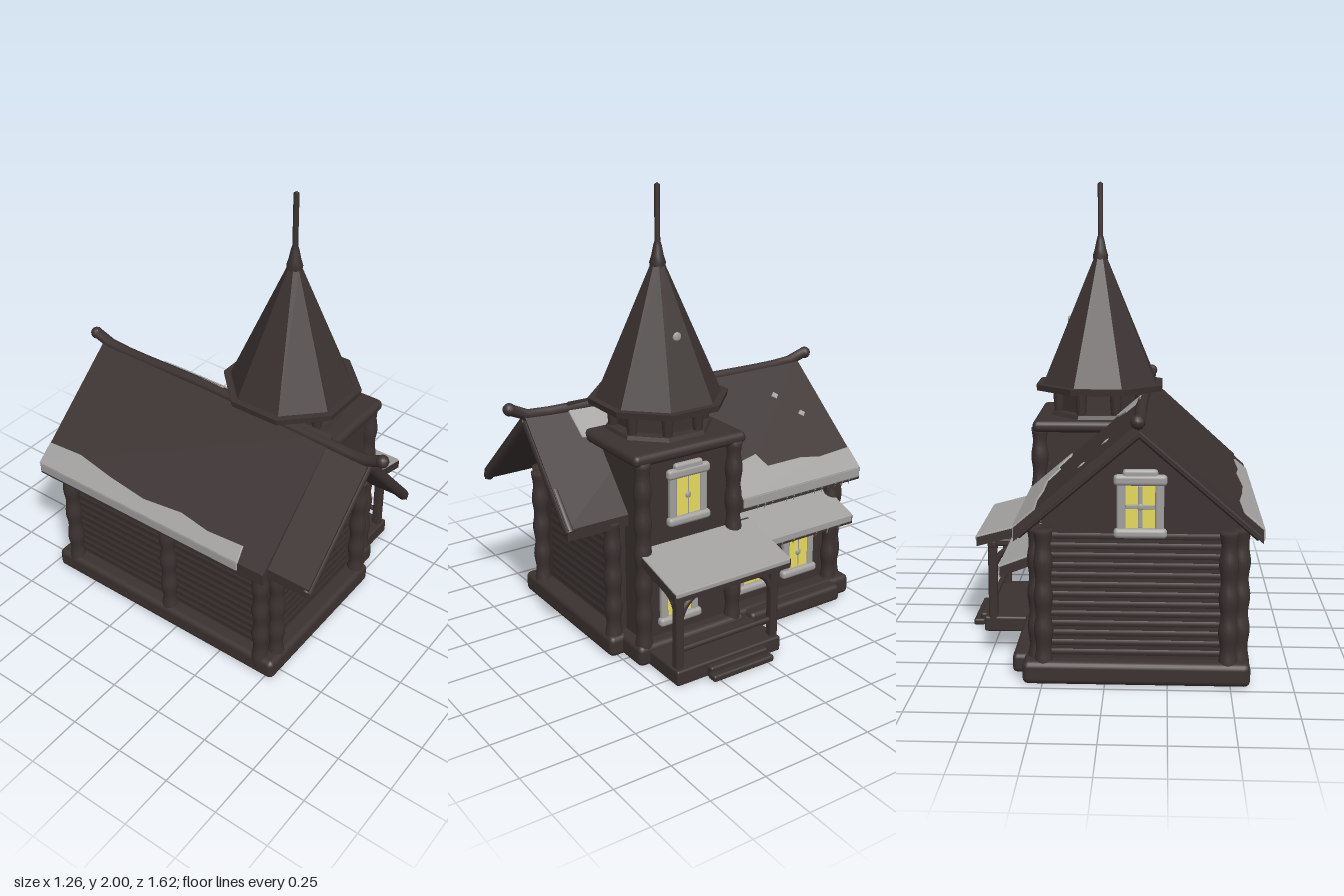
import * as THREE from 'three';
import { RoundedBoxGeometry } from 'three/addons/geometries/RoundedBoxGeometry.js';

const material = (name, color) => Object.assign(new THREE.MeshStandardMaterial({ color }), { name });

export function createModel() {
  const wood = material('dark wood', 0x3b3231);
  const snow = material('snow grey', 0xa1a09f);
  const glow = material('window yellow', 0xf8ec62);
  const model = new THREE.Group();
  model.name = 'house';

  const add = (name, geometry, mat = wood, parent = model) => {
    const mesh = new THREE.Mesh(geometry, mat);
    mesh.name = name;
    parent.add(mesh);
    return mesh;
  };
  // Softened box given by its limits
  const box = (name, x0, x1, y0, y1, z0, z1, mat = wood, parent = model, r = 0.01) => {
    const d = [x1 - x0, y1 - y0, z1 - z0];
    const mesh = add(name, new RoundedBoxGeometry(...d, 2, Math.min(r, ...d.map(v => v * 0.45))), mat, parent);
    mesh.position.set((x0 + x1) / 2, (y0 + y1) / 2, (z0 + z1) / 2);
    return mesh;
  };
  const shapeOf = pts => new THREE.Shape(pts.map(p => new THREE.Vector2(...p)));
  // Cross-section in x and y, stretched from z0 to z1
  const prism = (name, pts, z0, z1) => add(name,
    new THREE.ExtrudeGeometry(shapeOf(pts), { depth: z1 - z0, bevelEnabled: false }).translate(0, 0, z0));
  const tube = (name, pts, r) => add(name, new THREE.TubeGeometry(
    new THREE.CatmullRomCurve3(pts.map(p => new THREE.Vector3(...p))), 16, r, 8));
  const rod = (name, a, b, r) => {
    const from = new THREE.Vector3(...a), dir = new THREE.Vector3(...b).sub(from);
    const mesh = add(name, new THREE.CylinderGeometry(r, r, dir.length(), 10));
    mesh.position.copy(from).addScaledVector(dir, 0.5);
    mesh.quaternion.setFromUnitVectors(new THREE.Vector3(0, 1, 0), dir.normalize());
  };

  // Walls, set back between the corner posts
  prism('backWalls', [[-0.51, 0.03], [0.25, 0.03], [0.25, 0.68], [-0.13, 1.02], [-0.51, 0.67]], -0.66, 0);
  prism('frontWalls', [[-0.51, 0.03], [0.17, 0.03], [0.17, 0.62], [-0.15, 1.01], [-0.51, 0.67]], 0, 0.455);
  box('towerWalls', -0.22, 0.3, 0.03, 0.93, -0.03, 0.43);
  // Foundation sills
  [[-0.58, 0.22, 0.44, 0.54], [-0.58, 0.33, -0.72, -0.62], [-0.58, -0.48, -0.7, 0.52], [0.23, 0.33, -0.7, -0.05],
    [0.15, 0.36, 0.4, 0.48], [0.26, 0.36, -0.08, 0.48]].forEach(([x0, x1, z0, z1]) =>
    box('foundationSill', x0, x1, 0, 0.095, z0, z1, wood, model, 0.025));
  box('outerSill', 0.28, 0.38, 0.01, 0.09, -0.62, -0.1, wood, model, 0.02);

  // Wall logs, showing as shallow ridges
  for (let i = 0; i < 13; i++) {
    const y = 0.12 + i * 0.04, r = 0.03;
    rod('frontLog', [-0.45, y, 0.429], [0.15, y, 0.429], r);
    rod('backLog', [-0.48, y, -0.634], [0.23, y, -0.634], r);
    rod('sideLog', [-0.484, y, -0.63], [-0.484, y, 0.43], r);
  }

  // Gently bumpy log ends stacked at the corners
  const cornerPost = (x, z, top) => {
    const pts = [new THREE.Vector2(0, 0.04)];
    for (let i = 0; i <= 40; i++) {
      const t = i / 40;
      pts.push(new THREE.Vector2(0.035 + 0.004 * Math.sin(t * top * 42), 0.04 + t * (top - 0.04)));
    }
    pts.push(new THREE.Vector2(0, top));
    add('cornerPost', new THREE.LatheGeometry(pts, 12)).position.set(x, 0, z);
  };
  [[-0.545, 0.455, 0.63], [-0.48, 0.495, 0.63], [0.17, 0.495, 0.62], [-0.54, -0.63, 0.63], [-0.49, -0.675, 0.63],
    [0.245, -0.675, 0.63], [0.275, -0.63, 0.63], [-0.535, -0.06, 0.63], [0.32, 0.435, 0.92], [0.32, -0.03, 0.92]]
    .forEach(p => cornerPost(...p));

  // Main roof: one slab per slope, from ridge to eave
  const slab = (name, ridge, eave, t, z0, z1) => prism(name,
    [ridge, eave, [eave[0], eave[1] - t], [ridge[0], ridge[1] - t]], z0, z1);
  slab('roofLeft', [-0.135, 1.07], [-0.62, 0.65], 0.055, -0.73, 0.52);
  slab('roofRight', [-0.135, 1.07], [0.355, 0.65], 0.055, -0.73, -0.05);
  slab('frontRoofLeft', [-0.155, 1.05], [-0.585, 0.66], 0.05, 0.5, 0.72);
  slab('frontRoofRight', [-0.155, 1.05], [0.2, 0.645], 0.05, -0.05, 0.72);
  rod('bargeBoard', [-0.155, 1.01, 0.705], [-0.575, 0.63, 0.705], 0.024);
  rod('bargeBoard', [-0.155, 1.01, 0.705], [0.19, 0.625, 0.705], 0.024);
  rod('bargeBoard', [-0.135, 1.03, -0.71], [-0.61, 0.62, -0.71], 0.022);
  rod('bargeBoard', [-0.135, 1.03, -0.71], [0.345, 0.62, -0.71], 0.022);
  tube('ridgePole', [[-0.168, 1.08, 0.79], [-0.163, 1.045, 0.73], [-0.153, 1.035, 0.5], [-0.137, 1.05, -0.1],
    [-0.133, 1.055, -0.7], [-0.13, 1.085, -0.79]], 0.025);
  [[-0.168, 1.075, 0.78], [-0.13, 1.08, -0.785]].forEach(p =>
    add('ridgeFinial', new THREE.SphereGeometry(0.028, 12, 8)).position.set(...p));

  // Snow lying thinly on a slope: outline given as [z, distance up from the eave]
  const snowPatch = (eave, ridge, pts, depth = 0.004) => {
    const b = new THREE.Vector3(ridge[0] - eave[0], ridge[1] - eave[1], 0).normalize();
    const side = b.x < 0 ? -1 : 1;
    const n = new THREE.Vector3(-side * b.y, side * b.x, 0);
    const a = new THREE.Vector3(0, 0, side);
    const g = new THREE.ExtrudeGeometry(shapeOf(pts.map(([z, t]) => [z * side, t])),
      { depth, bevelThickness: 0.003, bevelSize: 0.003, bevelSegments: 1 });
    g.applyMatrix4(new THREE.Matrix4().makeBasis(a, b, n).setPosition(eave[0], eave[1], 0));
    add('roofSnow', g, snow);
  };
  const leftSlope = [[-0.62, 0.65], [-0.135, 1.07]], rightSlope = [[0.355, 0.65], [-0.135, 1.07]];
  const frontSlope = [[0.2, 0.645], [-0.155, 1.05]];
  snowPatch(...leftSlope, [[-0.727, 0], [0.39, 0], [0.38, 0.07], [0.2, 0.06], [0.05, 0.08], [-0.15, 0.06],
    [-0.35, 0.08], [-0.55, 0.11], [-0.727, 0.1]]);
  snowPatch(...rightSlope, [[-0.727, 0], [-0.06, 0], [-0.06, 0.24], [-0.1, 0.24], [-0.13, 0.17], [-0.23, 0.19],
    [-0.26, 0.12], [-0.45, 0.12], [-0.55, 0.1], [-0.727, 0.11]]);
  snowPatch(...rightSlope, [[-0.17, 0.64], [-0.05, 0.64], [-0.05, 0.5], [-0.11, 0.52], [-0.16, 0.56]]);
  snowPatch(...frontSlope, [[0.35, 0.53], [0.52, 0.53], [0.5, 0.38], [0.44, 0.36], [0.35, 0.36]]);
  [[-0.59, 0.34], [-0.5, 0.46]].forEach(([z, t]) =>
    snowPatch(...rightSlope, [[z - 0.015, t], [z, t - 0.015], [z + 0.018, t], [z, t + 0.015]], 0.001));
  // Snow rolling over the long eaves
  box('eaveSnow', 0.345, 0.361, 0.605, 0.655, -0.727, -0.06, snow);
  box('eaveSnow', -0.626, -0.61, 0.605, 0.655, -0.727, 0.39, snow);

  // Icicles beneath the eaves
  const icicles = (x, y, z0, z1, count) => {
    for (let i = 0; i < count; i++) {
      const h = 0.018 + 0.016 * Math.abs(Math.sin(i * 2.3));
      const c = add('icicle', new THREE.ConeGeometry(0.009, h, 6), snow);
      c.rotation.x = Math.PI;
      c.position.set(x, y - h / 2, z0 + (z1 - z0) * i / (count - 1));
    }
  };
  icicles(0.35, 0.61, -0.71, -0.1, 16);
  icicles(0.42, 0.435, -0.62, -0.16, 8);

  // Tower top: cornice, belfry and eight-sided spire
  box('towerCornice', -0.22, 0.35, 0.905, 0.958, -0.08, 0.485, wood, model, 0.025);
  const spire = new THREE.Group();
  spire.name = 'spire';
  spire.position.set(0.06, 0, 0.183);
  model.add(spire);
  const octagon = (name, r1, r0, y0, y1) => {
    const g = new THREE.CylinderGeometry(r1, r0, y1 - y0, 8).toNonIndexed();
    g.computeVertexNormals();
    g.rotateY(Math.PI / 8).translate(0, (y0 + y1) / 2, 0);
    add(name, g, wood, spire);
  };
  octagon('belfry', 0.18, 0.18, 0.94, 1.08);
  octagon('belfrySill', 0.23, 0.24, 0.95, 0.975);
  octagon('spireEave', 0.307, 0.303, 1.073, 1.1);
  octagon('spireRoof', 0.032, 0.275, 1.1, 1.66);
  for (let i = 0; i < 8; i++) {
    const a = Math.PI / 8 + i * Math.PI / 4;
    const post = add('belfryPost', new THREE.CylinderGeometry(0.028, 0.02, 0.12, 8), wood, spire);
    post.position.set(0.2 * Math.cos(a), 1.02, 0.2 * Math.sin(a));
  }
  add('spireTip', new THREE.LatheGeometry([[0.03, 1.64], [0.035, 1.67], [0.026, 1.7], [0.018, 1.74], [0.012, 1.76],
    [0.012, 1.99], [0, 2]].map(p => new THREE.Vector2(...p)), 12), wood, spire);
  add('spireSnow', new THREE.SphereGeometry(0.022, 8, 6).scale(0.3, 1, 1), snow, spire).position.set(0.142, 1.38, 0);

  // Porch and side roofs, each capped with snow
  slab('porchRoof', [0.29, 0.525], [0.595, 0.443], 0.04, -0.135, 0.46);
  snowPatch([0.595, 0.443], [0.29, 0.525], [[-0.13, 0.004], [0.455, 0.004], [0.455, 0.3], [-0.13, 0.3]]);
  box('porchEaveSnow', 0.585, 0.601, 0.425, 0.45, -0.13, 0.455, snow);
  slab('sideRoof', [0.24, 0.53], [0.425, 0.46], 0.04, -0.635, -0.1);
  snowPatch([0.425, 0.46], [0.24, 0.53], [[-0.63, 0.004], [-0.1, 0.004], [-0.1, 0.19], [-0.63, 0.19]]);
  box('sideEaveSnow', 0.415, 0.431, 0.43, 0.467, -0.63, -0.12, snow);

  // Porch deck, steps, posts, railing and curved braces
  box('porchDeck', 0.3, 0.57, 0, 0.07, -0.11, 0.43);
  box('upperStep', 0.55, 0.6, 0, 0.055, -0.02, 0.28);
  box('lowerStep', 0.58, 0.63, 0, 0.03, -0.03, 0.285);
  box('porchBeam', 0.51, 0.55, 0.39, 0.425, -0.12, 0.44);
  [-0.09, 0.4].forEach(z => {
    const inward = z > 0 ? -1 : 1;
    box('porchPost', 0.51, 0.55, 0.05, 0.41, z - 0.02, z + 0.02);
    box('porchSideBeam', 0.28, 0.55, 0.395, 0.43, z - 0.018, z + 0.018);
    tube('frontBrace', [[0.53, 0.27, z], [0.53, 0.35, z + inward * 0.04], [0.53, 0.4, z + inward * 0.12]], 0.014);
    tube('sideBrace', [[0.53, 0.29, z], [0.49, 0.36, z], [0.4, 0.405, z]], 0.014);
  });
  rod('frontRail', [0.53, 0.145, -0.09], [0.53, 0.145, 0.4], 0.012);

  // Lit windows with snowy frames; w and h are the glass size, bar the thickness of a crossbar if any
  const windowAt = (x, y, z, turn, w, h, bar) => {
    const g = new THREE.Group();
    g.name = 'window';
    g.position.set(x, y, z);
    g.rotation.y = turn;
    model.add(g);
    const a = w / 2, b = h / 2, f = 0.036;
    add('glass', new THREE.BoxGeometry(w + 0.01, h + 0.01, 0.008), glow, g).position.z = 0.014;
    [-1, 1].forEach(s => box('frameSide', s * (a + f / 2) - f / 2, s * (a + f / 2) + f / 2, -b - f, b + f, 0, 0.026, snow, g));
    box('frameTop', -a - f - 0.012, a + f + 0.012, b, b + 0.045, 0, 0.034, snow, g, 0.016);
    box('frameCrest', -a - 0.012, a + 0.012, b + 0.02, b + 0.066, 0, 0.03, snow, g, 0.013);
    box('frameSill', -a - f - 0.012, a + f + 0.012, -b - 0.04, -b, 0, 0.04, snow, g, 0.016);
    const m = bar ? bar / 2 : 0.002;
    box('mullion', -m, m, -b, b, 0.012, 0.021, snow, g, 0.003);
    if (bar) box('crossbar', -a, a, -m, m, 0.012, 0.021, snow, g, 0.003);
    const knot = add('snowKnot', new THREE.SphereGeometry(0.015, 10, 8), snow, g);
    knot.scale.z = 0.4;
    knot.position.z = 0.018;
  };
  const east = Math.PI / 2;
  windowAt(-0.162, 0.725, 0.455, 0, 0.115, 0.17, 0.018);
  windowAt(-0.14, 0.725, -0.66, Math.PI, 0.115, 0.17, 0.018);
  windowAt(0.3, 0.725, 0.205, east, 0.118, 0.17);
  windowAt(0.3, 0.26, 0.25, east, 0.12, 0.15);
  windowAt(0.25, 0.258, -0.2, east, 0.13, 0.15);
  windowAt(0.25, 0.262, -0.45, east, 0.105, 0.145);
  return model;
}
